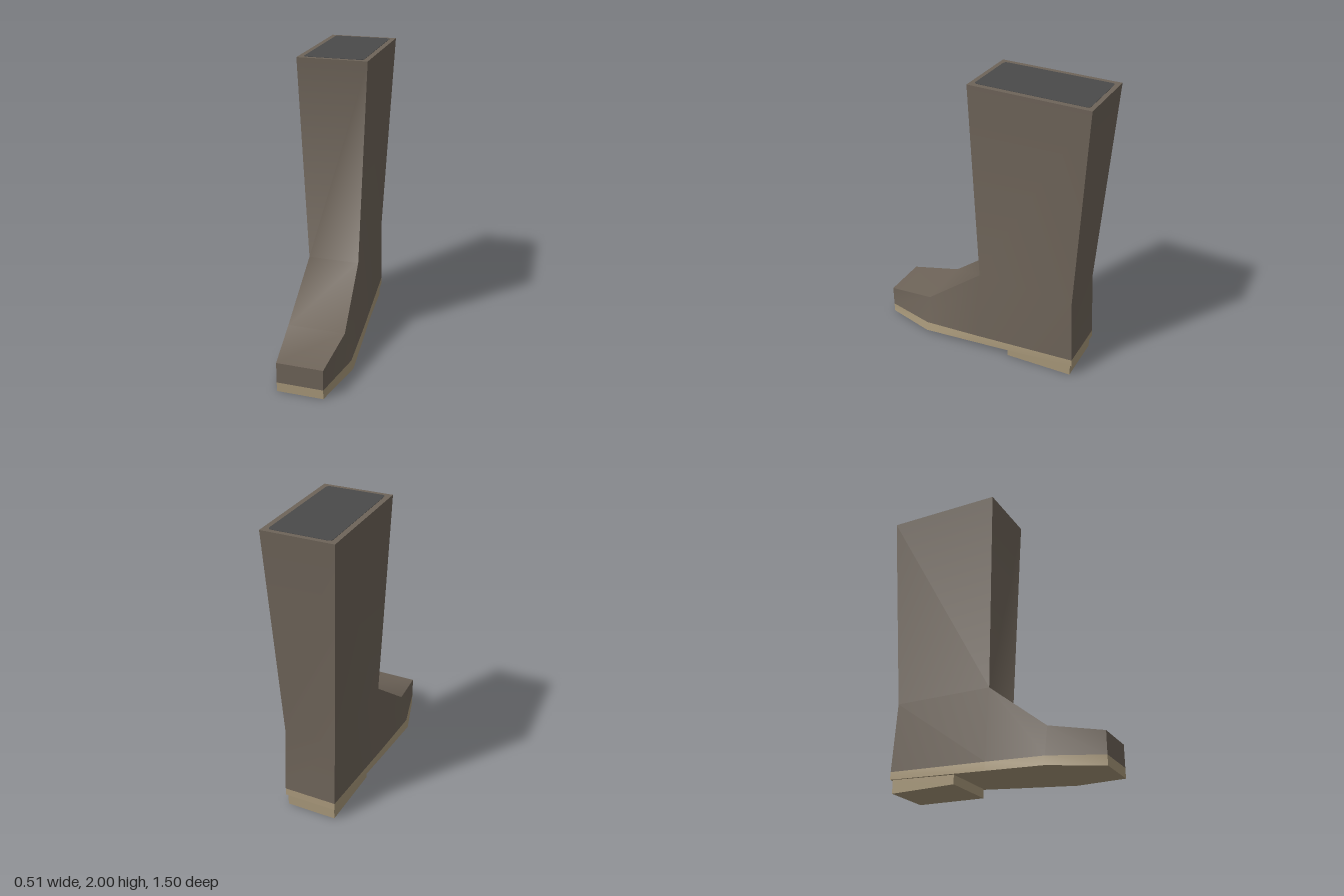
import * as THREE from 'three';
import { toCreasedNormals } from 'three/addons/utils/BufferGeometryUtils.js';

const flip = ([x, y, z]) => [-x, y, z];

// Symmetric shell: side quads run between a lower and an upper row (back to front),
// and the chain of edge points is bridged from the right side to the left side.
function shell(bands, chain) {
  const pos = [];
  const quad = (a, b, c, d) => [a, b, c, a, c, d].forEach(p => pos.push(...p));
  for (const [low, high] of bands) {
    for (let i = 0; i < low.length - 1; i++) {
      const q = [low[i + 1], low[i], high[i], high[i + 1]];
      quad(...q);
      // mirrored side keeps the same diagonal
      const [a, b, c, d] = q.map(flip);
      quad(a, d, c, b);
    }
  }
  for (let i = 0; i < chain.length - 1; i++) {
    const a = chain[i], b = chain[i + 1];
    quad(flip(a), a, b, flip(b));
  }
  const geo = new THREE.BufferGeometry();
  geo.setAttribute('position', new THREE.Float32BufferAttribute(pos, 3));
  return toCreasedNormals(geo, 1.05);
}

export function createModel() {
  const leather = new THREE.MeshStandardMaterial({ name: 'brown leather', color: 0x6e6459 });
  const tan = new THREE.MeshStandardMaterial({ name: 'tan sole', color: 0xa8987a });
  const dark = new THREE.MeshStandardMaterial({ name: 'dark lining', color: 0x4a4a4a });

  const boot = new THREE.Group();
  boot.name = 'boot';
  const add = (name, geo, mat) => {
    const mesh = new THREE.Mesh(geo, mat);
    mesh.name = name;
    boot.add(mesh);
    return mesh;
  };

  // Stations from back to front: heel, ankle, ball, toe
  const soleLow = [[0.18, 0.09, -0.71], [0.229, 0.046, 0], [0.255, 0.022, 0.4], [0.155, 0, 0.75]];
  const soleTop = [[0.18, 0.14, -0.708], [0.223, 0.104, 0], [0.241, 0.083, 0.4], [0.155, 0.065, 0.75]];
  const upper = [[0.175, 0.6, -0.68], [0.175, 0.6, 0], [0.195, 0.28, 0.4], [0.155, 0.21, 0.75]];
  const cuff = [[0.23, 1.998, -0.75], [0.23, 1.998, 0.045]];

  // Foot and shaft in one leather skin
  add('upper', shell(
    [[soleTop, upper], [upper.slice(0, 2), cuff]],
    [soleTop[3], upper[3], upper[2], upper[1], cuff[1], cuff[0], upper[0], soleTop[0]]
  ), leather);

  // Sloping sole
  add('sole', shell([[soleLow, soleTop]], [soleTop[0], ...soleLow, soleTop[3]]), tan);

  // Heel block, slightly inset from the sole
  const heelLow = [[0.17, 0, -0.695], [0.195, 0, -0.23]];
  const heelTop = [[0.17, 0.09, -0.695], [0.195, 0.061, -0.23]];
  add('heel', shell([[heelLow, heelTop]], [heelTop[0], ...heelLow, heelTop[1]]), tan);

  // Dark opening: thin rounded plate on the cuff
  const w = 0.195, back = 0.72, front = -0.015, r = 0.025;
  const s = new THREE.Shape();
  s.moveTo(-w + r, front);
  s.lineTo(w - r, front);
  s.quadraticCurveTo(w, front, w, front + r);
  s.lineTo(w, back - r);
  s.quadraticCurveTo(w, back, w - r, back);
  s.lineTo(-w + r, back);
  s.quadraticCurveTo(-w, back, -w, back - r);
  s.lineTo(-w, front + r);
  s.quadraticCurveTo(-w, front, -w + r, front);
  const plate = new THREE.ExtrudeGeometry(s, { depth: 0.004, bevelEnabled: false, curveSegments: 4 });
  plate.rotateX(-Math.PI / 2);
  add('opening', plate, dark).position.y = 1.996;

  return boot;
}
